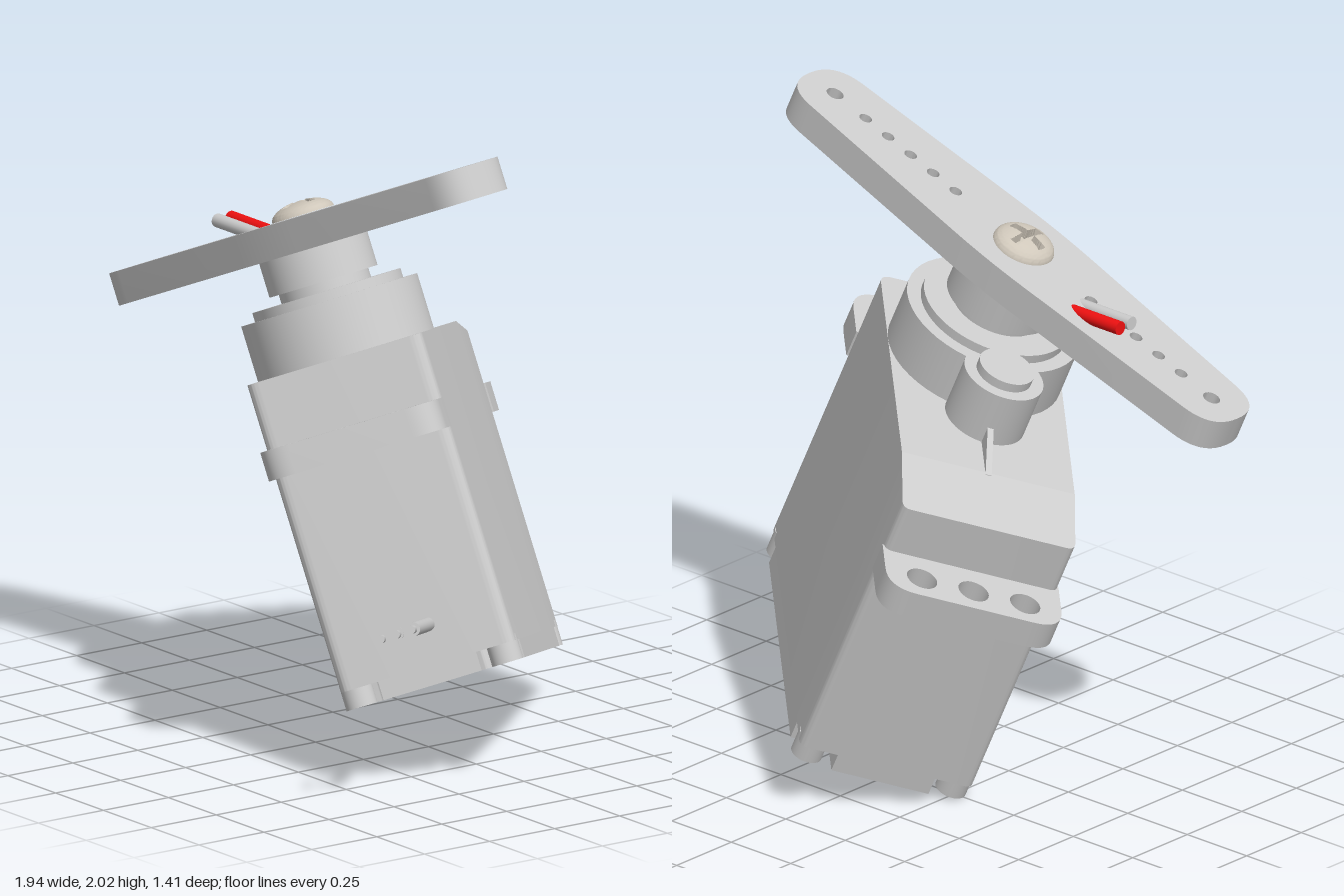
import * as THREE from 'three';
import { toCreasedNormals } from 'three/addons/utils/BufferGeometryUtils.js';

const grey = new THREE.MeshStandardMaterial({ color: 0xcccccc });
const red = new THREE.MeshStandardMaterial({ color: 0xee1111 });
const metal = new THREE.MeshStandardMaterial({ color: 0xcfc7ba, side: THREE.DoubleSide });

function add(parent, name, geometry, material = grey) {
  const mesh = new THREE.Mesh(geometry, material);
  mesh.name = name;
  parent.add(mesh);
  return mesh;
}

// Closed outline from [x, y, corner radius]
function outline(points) {
  const shape = new THREE.Shape();
  const n = points.length;
  const v = points.map(p => new THREE.Vector2(p[0], p[1]));
  points.forEach(([, , r = 0], i) => {
    const p = v[i];
    const a = v[(i + n - 1) % n].clone().sub(p).setLength(r || 1e-9).add(p);
    const b = v[(i + 1) % n].clone().sub(p).setLength(r || 1e-9).add(p);
    if (!r) {
      if (i) shape.lineTo(p.x, p.y); else shape.moveTo(p.x, p.y);
      return;
    }
    if (i) shape.lineTo(a.x, a.y); else shape.moveTo(a.x, a.y);
    shape.quadraticCurveTo(p.x, p.y, b.x, b.y);
  });
  shape.closePath();
  return shape;
}

function hole(shape, x, y, r) {
  shape.holes.push(new THREE.Path().absarc(x, y, r, 0, Math.PI * 2, true));
}

// Horizontal plate between two heights
function slab(shape, y0, y1) {
  const g = new THREE.ExtrudeGeometry(shape, { depth: y1 - y0, bevelEnabled: false, curveSegments: 12 });
  return g.rotateX(-Math.PI / 2).translate(0, y0, 0);
}

function disc(parent, name, x, z, r, y0, y1) {
  const g = new THREE.CylinderGeometry(r, r, y1 - y0, 48);
  add(parent, name, g.translate(x, (y0 + y1) / 2, z));
}

// Rod along x
function rod(parent, name, x0, x1, y, z, r, material = grey) {
  const g = new THREE.CylinderGeometry(r, r, x1 - x0, 20).rotateZ(Math.PI / 2);
  add(parent, name, g.translate((x0 + x1) / 2, y, z), material);
}

export function createModel() {
  const root = new THREE.Group();
  const servo = new THREE.Group();
  servo.name = 'servo';
  root.add(servo);

  const L = 0.585, W = 0.285, top = 1.056, ridge = -0.35, axis = 0.25;

  // Case: flat-topped main block and a sloping end
  const main = outline([[ridge, -W], [L, -W, 0.04], [L, W, 0.04], [ridge, W]]);
  add(servo, 'case', toCreasedNormals(slab(main, 0.06, top), 0.6));
  const end = slab(outline([[ridge, W], [-L, W, 0.03], [-L, -W, 0.03], [ridge, -W]]), 0.06, top);
  const pos = end.attributes.position;
  for (let i = 0; i < pos.count; i++) {
    if (pos.getY(i) > 1) pos.setY(i, top - 0.045 * (ridge - pos.getX(i)) / (L + ridge));
  }
  add(servo, 'slopedCaseEnd', toCreasedNormals(end, 0.6));

  // Base plate notched at the corners for the case screws
  const n = 0.125, base = [];
  for (const [sx, sz] of [[1, 1], [-1, 1], [-1, -1], [1, -1]]) {
    const corner = [[sx * L, sz * (W - n)], [sx * (L - n), sz * (W - n), 0.03], [sx * (L - n), sz * W]];
    base.push(...(sx * sz > 0 ? corner : corner.reverse()));
    disc(servo, 'caseScrew', sx * 0.525, sz * 0.238, 0.05, 0, 0.08);
  }
  add(servo, 'basePlate', toCreasedNormals(slab(outline(base), 0, 0.06), 0.6));

  // Mounting ears with three holes each
  for (const s of [1, -1]) {
    const ear = outline([[0.56, -0.29], [0.785, -0.29, 0.1], [0.785, 0.29, 0.1], [0.56, 0.29]]);
    for (const z of [-0.17, 0, 0.17]) hole(ear, 0.695, z, 0.05);
    const g = toCreasedNormals(slab(ear, 0.752, 0.845), 0.6);
    if (s < 0) g.rotateY(Math.PI);
    add(servo, 'mountingEar', g);
  }

  // Gear housing, its small lobe and the stiffening rib
  disc(servo, 'gearHousing', axis, 0, W, top - 0.02, 1.235);
  disc(servo, 'gearHousingStep', axis, 0, 0.24, 1.22, 1.265);
  disc(servo, 'gearLobe', -0.06, 0.01, 0.13, top - 0.02, 1.235);
  disc(servo, 'gearLobeStep', -0.06, 0.01, 0.09, 1.22, 1.265);
  const rib = new THREE.ExtrudeGeometry(
    outline([[-0.36, top - 0.02], [-0.15, top - 0.02], [-0.15, top + 0.07], [-0.36, top]]),
    { depth: 0.02, bevelEnabled: false });
  add(servo, 'rib', rib.translate(0, 0, -0.01));

  // Output shaft and horn
  disc(servo, 'outputShaft', axis, 0, 0.145, 1.25, 1.31);
  const horn = new THREE.Group();
  horn.name = 'horn';
  horn.position.x = axis;
  horn.rotation.y = Math.PI / 4;
  servo.add(horn);
  disc(horn, 'hornHub', 0, 0, 0.175, 1.295, 1.41);
  const arm = outline([
    [0.926, -0.125, 0.12], [0.926, 0.125, 0.12], [0, 0.18, 0.15],
    [-0.926, 0.125, 0.12], [-0.926, -0.125, 0.12], [0, -0.18, 0.15]]);
  for (const s of [1, -1]) {
    for (let i = 0; i < 5; i++) hole(arm, s * (0.293 + i * 0.0975), 0, 0.021);
    hole(arm, s * 0.815, 0, 0.028);
  }
  add(horn, 'hornArm', toCreasedNormals(slab(arm, 1.405, 1.51), 0.6));

  // Domed screw with a cross recess
  const dome = new THREE.RingGeometry(0.0005, 0.1, 96, 32);
  const dp = dome.attributes.position;
  for (let i = 0; i < dp.count; i++) {
    const x = dp.getX(i), y = dp.getY(i), r = Math.hypot(x, y);
    const cross = Math.min(Math.abs(x), Math.abs(y)) < 0.013 && r < 0.065;
    dp.setZ(i, cross ? 0.012 : 0.045 * Math.sqrt(Math.max(0, 1 - (r / 0.1) ** 2)));
  }
  dome.rotateX(-Math.PI / 2).translate(0, 1.512, 0);
  add(horn, 'hornScrew', toCreasedNormals(dome, 0.5), metal);

  // Cable, two short stubs and three bare wire ends
  [-0.04, 0.01, 0.06].forEach((z, i) => {
    rod(servo, i ? 'cableStub' : 'cable', 0.55, i ? 0.588 : 0.97, 0.185, z, 0.022);
    rod(servo, 'wireEnd', i ? 0.985 : 0.96, 1.025, 0.185, z, 0.013);
  });

  // Tilted pose
  const up = new THREE.Vector3(-0.375, 0.923, 0.086).normalize();
  const front = new THREE.Vector3(0.923, 0.38, -0.052).cross(up).normalize();
  const side = up.clone().cross(front);
  const x = side.clone().add(front).normalize();
  const z = front.clone().sub(side).normalize();
  servo.applyMatrix4(new THREE.Matrix4().makeBasis(x, up, z).setPosition(0.272, 0.205, -0.085));

  // Two level wires meeting the horn
  rod(root, 'redWire', -0.585, -0.19, 1.532, 0.146, 0.022, red);
  rod(root, 'greyWire', -0.585, -0.19, 1.532, 0.198, 0.022);

  return root;
}
